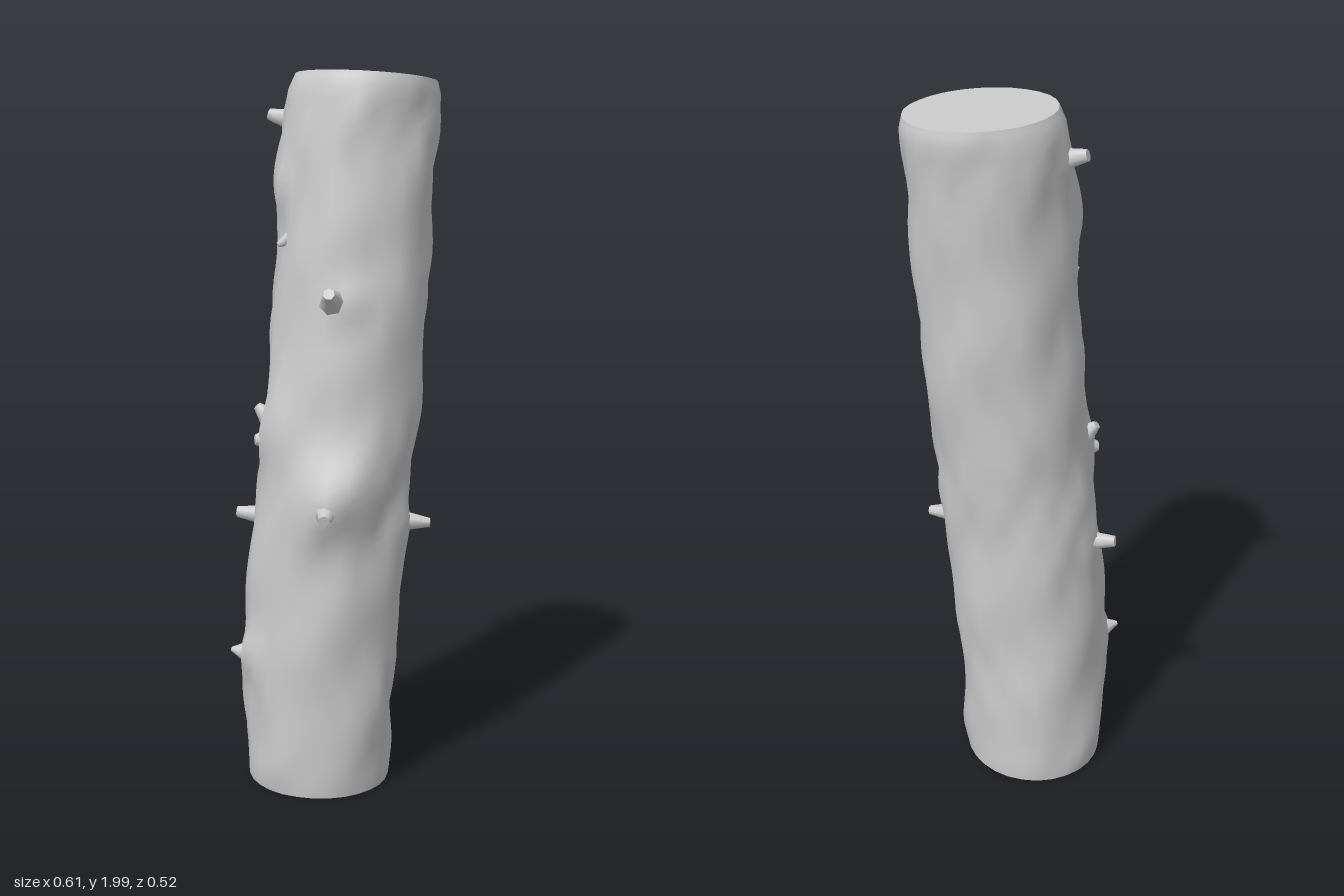
import * as THREE from 'three';

const SIDES = 28, ROWS = 56;

// Trunk outline: height, min x, max x, min z, max z
const OUTLINE = [
  [0.01, -0.25, 0.15, -0.24, 0.185],
  [0.05, -0.257, 0.155, -0.243, 0.19],
  [0.2, -0.258, 0.157, -0.243, 0.195],
  [0.4, -0.258, 0.172, -0.236, 0.198],
  [0.6, -0.248, 0.19, -0.234, 0.204],
  [0.8, -0.228, 0.203, -0.23, 0.205],
  [1.0, -0.208, 0.224, -0.229, 0.203],
  [1.2, -0.185, 0.248, -0.238, 0.197],
  [1.4, -0.163, 0.265, -0.244, 0.187],
  [1.6, -0.148, 0.28, -0.246, 0.177],
  [1.8, -0.134, 0.293, -0.254, 0.164],
  [1.95, -0.112, 0.306, -0.263, 0.16],
  [1.987, -0.092, 0.298, -0.255, 0.152],
];

// Swellings in the bark: angle, height, angular width, height width, amount
const SWELLINGS = [
  [1.9, 0.87, 0.4, 0.12, 0.06],
  [1.93, 1.39, 0.22, 0.06, 0.025],
  [3.25, 0.38, 0.25, 0.06, 0.028],
  [3.1, 1.02, 0.25, 0.08, 0.02],
  [3.2, 1.69, 0.25, 0.07, 0.02],
  [0.75, 0.77, 0.25, 0.06, 0.015],
  [3.75, 0.76, 0.25, 0.06, 0.012],
  [3.75, 1.87, 0.25, 0.06, 0.015],
];

function section(y) {
  let i = 0;
  while (i < OUTLINE.length - 2 && y > OUTLINE[i + 1][0]) i++;
  const a = OUTLINE[i], b = OUTLINE[i + 1];
  const t = (y - a[0]) / (b[0] - a[0]);
  return a.map((v, k) => v + (b[k] - v) * t);
}

// Shallow, vertically stretched bark undulation plus the swellings
function relief(a, y) {
  const fade = Math.min(1, y / 0.1, (2 - y) / 0.12);
  let d = 0.004 * Math.sin(5 * a + 4 * Math.sin(y * 3.1))
    + 0.0035 * Math.sin(8 * a - 7 * y + 2 * Math.sin(9 * y))
    + 0.003 * Math.sin(3 * a + 17 * y)
    + 0.003 * Math.sin(11 * a + 5 * Math.sin(6 * y + 1));
  for (const [sa, sy, wa, wy, amount] of SWELLINGS) {
    const da = Math.atan2(Math.sin(a - sa), Math.cos(a - sa)) / wa;
    const dy = (y - sy) / wy;
    d += amount * Math.exp(-da * da - dy * dy);
  }
  return d * fade;
}

function trunkPoint(a, y) {
  const [, x0, x1, z0, z1] = section(y);
  const d = relief(a, y);
  const tilt = -0.012 * Math.cos(a) * Math.max(0, (y - 1.8) / 0.187);
  return [
    (x0 + x1) / 2 + ((x1 - x0) / 2 + d) * Math.cos(a),
    y + tilt,
    (z0 + z1) / 2 + ((z1 - z0) / 2 + d) * Math.sin(a),
  ];
}

function ring(y) {
  return Array.from({ length: SIDES }, (_, i) => trunkPoint((i / SIDES) * Math.PI * 2, y));
}

function buildMesh(name, points, index, material) {
  const g = new THREE.BufferGeometry();
  g.setAttribute('position', new THREE.Float32BufferAttribute(points.flat(), 3));
  g.setIndex(index);
  g.computeVertexNormals();
  const mesh = new THREE.Mesh(g, material);
  mesh.name = name;
  return mesh;
}

function makeBark(material) {
  const heights = [0.01, 0.03];
  for (let r = 1; r < ROWS; r++) heights.push(0.03 + (r / ROWS) * 1.92);
  heights.push(1.95, 1.972, 1.987);
  const points = heights.flatMap(ring), index = [];
  for (let r = 0; r < heights.length - 1; r++) {
    for (let i = 0; i < SIDES; i++) {
      const a = r * SIDES + i, b = r * SIDES + (i + 1) % SIDES;
      index.push(a, a + SIDES, b, b, a + SIDES, b + SIDES);
    }
  }
  return buildMesh('bark', points, index, material);
}

function makeCutEnd(name, y, up, material) {
  const [, x0, x1, z0, z1] = section(y);
  const points = [...ring(y), [(x0 + x1) / 2, y, (z0 + z1) / 2]], index = [];
  for (let i = 0; i < SIDES; i++) {
    const j = (i + 1) % SIDES;
    index.push(SIDES, up ? j : i, up ? i : j);
  }
  return buildMesh(name, points, index, material);
}

// Tapered twig stub running from inside the bark to its tip
function makeStub(from, to, r0, r1, material) {
  const a = new THREE.Vector3(...from), b = new THREE.Vector3(...to);
  const dir = b.clone().sub(a);
  const mesh = new THREE.Mesh(new THREE.CylinderGeometry(r1, r0, dir.length(), 7, 2), material);
  mesh.position.copy(a).add(b).multiplyScalar(0.5);
  mesh.quaternion.setFromUnitVectors(new THREE.Vector3(0, 1, 0), dir.normalize());
  mesh.name = 'twigStub';
  return mesh;
}

export function createModel() {
  const material = new THREE.MeshStandardMaterial({ color: 0xcccccc });
  const log = new THREE.Group();
  log.name = 'log';
  log.add(makeBark(material));
  log.add(makeCutEnd('topCut', 1.987, true, material));
  log.add(makeCutEnd('bottomCut', 0.01, false, material));

  // Broken twigs: base, tip, base radius, tip radius
  const stubs = [
    [[0.13, 0.77, 0.09], [0.222, 0.765, 0.142], 0.035, 0.013],
    [[-0.1, 0.84, 0.18], [-0.135, 0.82, 0.252], 0.04, 0.016],
    [[-0.17, 0.76, -0.13], [-0.245, 0.768, -0.172], 0.03, 0.016],
    [[-0.23, 0.38, -0.035], [-0.305, 0.4, -0.046], 0.05, 0.006],
    [[-0.18, 1.0, -0.02], [-0.235, 1.0, -0.028], 0.045, 0.014],
    [[-0.17, 1.04, -0.05], [-0.215, 1.09, -0.07], 0.04, 0.012],
    [[-0.07, 1.87, -0.14], [-0.135, 1.89, -0.185], 0.032, 0.016],
    [[-0.06, 1.38, 0.13], [-0.1, 1.415, 0.197], 0.045, 0.016],
    [[-0.12, 1.56, -0.02], [-0.165, 1.535, -0.025], 0.025, 0.007],
  ];
  for (const [from, to, r0, r1] of stubs) log.add(makeStub(from, to, r0, r1, material));
  return log;
}
